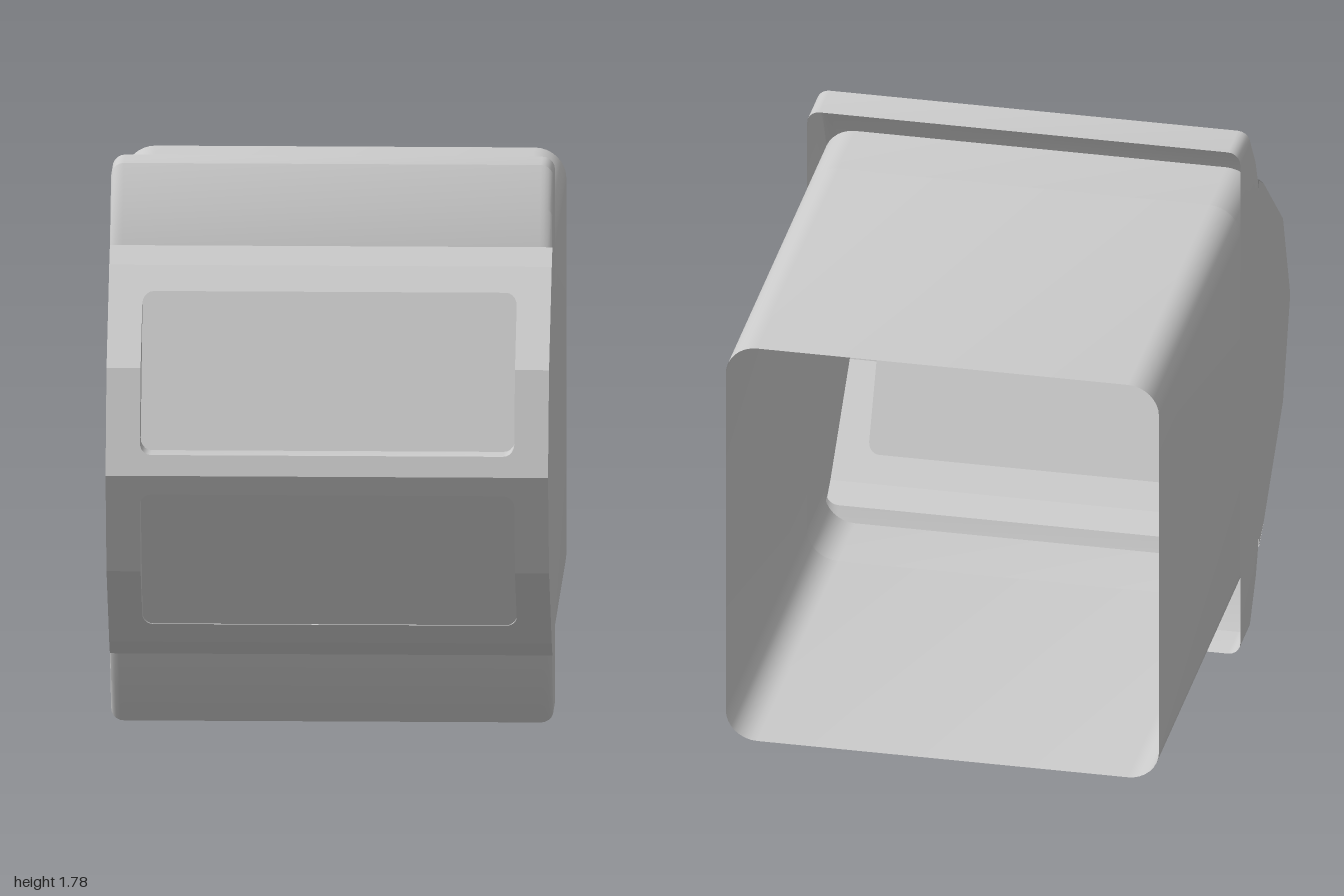
import * as THREE from 'three';
import { toCreasedNormals } from 'three/addons/utils/BufferGeometryUtils.js';

const W = 0.695;      // half width
const MID = 0.889;    // height of the horizontal symmetry plane
const material = new THREE.MeshStandardMaterial({ color: 0xcccccc, side: THREE.DoubleSide });

// Arch outline from left foot, over the rounded top corners, to right foot
function arch(w, y0, y1, r, steps = 8) {
  const pts = [[-w, y0]];
  const s = Math.sign(y1 - y0);
  for (const side of [-1, 1]) {
    for (let i = 0; i <= steps; i++) {
      const t = (side < 0 ? i : steps - i) / steps * Math.PI / 2;
      pts.push([side * (w - r + r * Math.cos(t)), y1 - s * r + s * r * Math.sin(t)]);
    }
  }
  pts.push([w, y0]);
  return pts;
}

// Skin between successive sections, each an array of [x, y, z]
function loft(sections) {
  const n = sections[0].length, index = [];
  for (let s = 0; s < sections.length - 1; s++) {
    for (let i = 0; i < n - 1; i++) {
      const a = s * n + i, b = a + n;
      index.push(a, b, a + 1, b, b + 1, a + 1);
    }
  }
  const geo = new THREE.BufferGeometry();
  geo.setAttribute('position', new THREE.Float32BufferAttribute(sections.flat(2), 3));
  geo.setIndex(index);
  return toCreasedNormals(geo, 0.5);
}

const at = (pts, z) => pts.map(([x, y]) => [x, y, typeof z === 'function' ? z(y) : z]);

// Flat outline in x, y, tilted so that z follows height
function sheet(pts, zOf) {
  const geo = new THREE.ShapeGeometry(new THREE.Shape(pts.map(p => new THREE.Vector2(...p))));
  const p = geo.attributes.position;
  for (let i = 0; i < p.count; i++) p.setZ(i, zOf(p.getY(i)));
  return toCreasedNormals(geo, 0.5);
}

// Mirrored copy with its winding kept outward
function mirror(geo, axis, centre = 0) {
  const src = geo.index ? geo.toNonIndexed() : geo;
  const p = src.attributes.position, out = [];
  for (let i = 0; i < p.count; i += 3) {
    for (const k of [0, 2, 1]) {
      const v = new THREE.Vector3().fromBufferAttribute(p, i + k);
      v[axis] = 2 * centre - v[axis];
      out.push(v.x, v.y, v.z);
    }
  }
  const g = new THREE.BufferGeometry();
  g.setAttribute('position', new THREE.Float32BufferAttribute(out, 3));
  return toCreasedNormals(g, 0.5);
}

const line = (y0, z0, y1, z1) => y => z0 + (z1 - z0) * (y - y0) / (y1 - y0);

export function createModel() {
  const model = new THREE.Group();
  const upper = new THREE.Group(), lower = new THREE.Group();
  upper.name = 'upperHalf';
  lower.name = 'lowerHalf';
  model.add(upper, lower);

  // Every part is made for the upper half and mirrored to the lower one
  const add = (name, geo) => {
    const a = new THREE.Mesh(geo, material);
    const b = new THREE.Mesh(mirror(geo, 'y', MID), material);
    a.name = b.name = name;
    upper.add(a);
    lower.add(b);
  };

  // Open-backed sleeve, its roof running on behind the flange
  const sleeve = arch(W, MID, 1.585, 0.1);
  add('sleeve', loft([at(sleeve, -1), at(sleeve, 0.24)]));
  const roof = arch(W, 1.485, 1.585, 0.1);
  add('sleeveRoof', loft([at(roof, 0.24), at(roof, 0.5)]));

  // Raised hollow flange, open to the back
  const steps = [[0.24, 1.778], [0.39, 1.778], [0.475, 1.66], [0.525, 1.54]];
  add('flange', loft(steps.map(([z, y]) => at(arch(W, 1.485, y, 0.04, 5), z))));

  // Side cheeks closing the pointed front
  const cheek = new THREE.ShapeGeometry(new THREE.Shape([
    [0.24, MID], [1, MID], [0.89, 1.213], [0.595, 1.49], [0.525, 1.535], [0.515, 1.485], [0.24, 1.485],
  ].map(p => new THREE.Vector2(...p))));
  cheek.rotateY(-Math.PI / 2).translate(-W, 0, 0);
  add('rightCheek', cheek);
  add('leftCheek', mirror(cheek, 'x'));

  // Sloped front facets, cut out around the window
  const fold = 1.213, a = 0.588;
  const zHigh = line(fold, 0.89, 1.49, 0.595);
  const zLow = line(MID, 1, fold, 0.89);
  const topCut = arch(a, fold, 1.42, 0.035, 5);
  const bottomCut = arch(a, fold, 0.952, 0.035, 5);
  add('frontBrow', sheet([[-W, 1.49], [W, 1.49], [W, 1.54], [-W, 1.54]], line(1.49, 0.595, 1.54, 0.525)));
  add('frontUpperFacet', sheet([[W, fold], [W, 1.49], [-W, 1.49], [-W, fold], ...topCut], zHigh));
  add('frontNoseFacet', sheet([[-W, fold], [-W, MID], [W, MID], [W, fold], ...bottomCut.slice().reverse()], zLow));

  // Recessed window: flat pane and the reveal around it
  const rim = [...topCut, ...bottomCut.slice().reverse().slice(1)];
  const zPane = line(0.952, 0.89, 1.42, 0.66);
  const zFront = y => (y > fold ? zHigh(y) : zLow(y));
  add('windowPane', sheet(rim.slice(0, -1), zPane));
  add('windowReveal', loft([at(rim, zFront), at(rim, zPane)]));

  return model;
}
